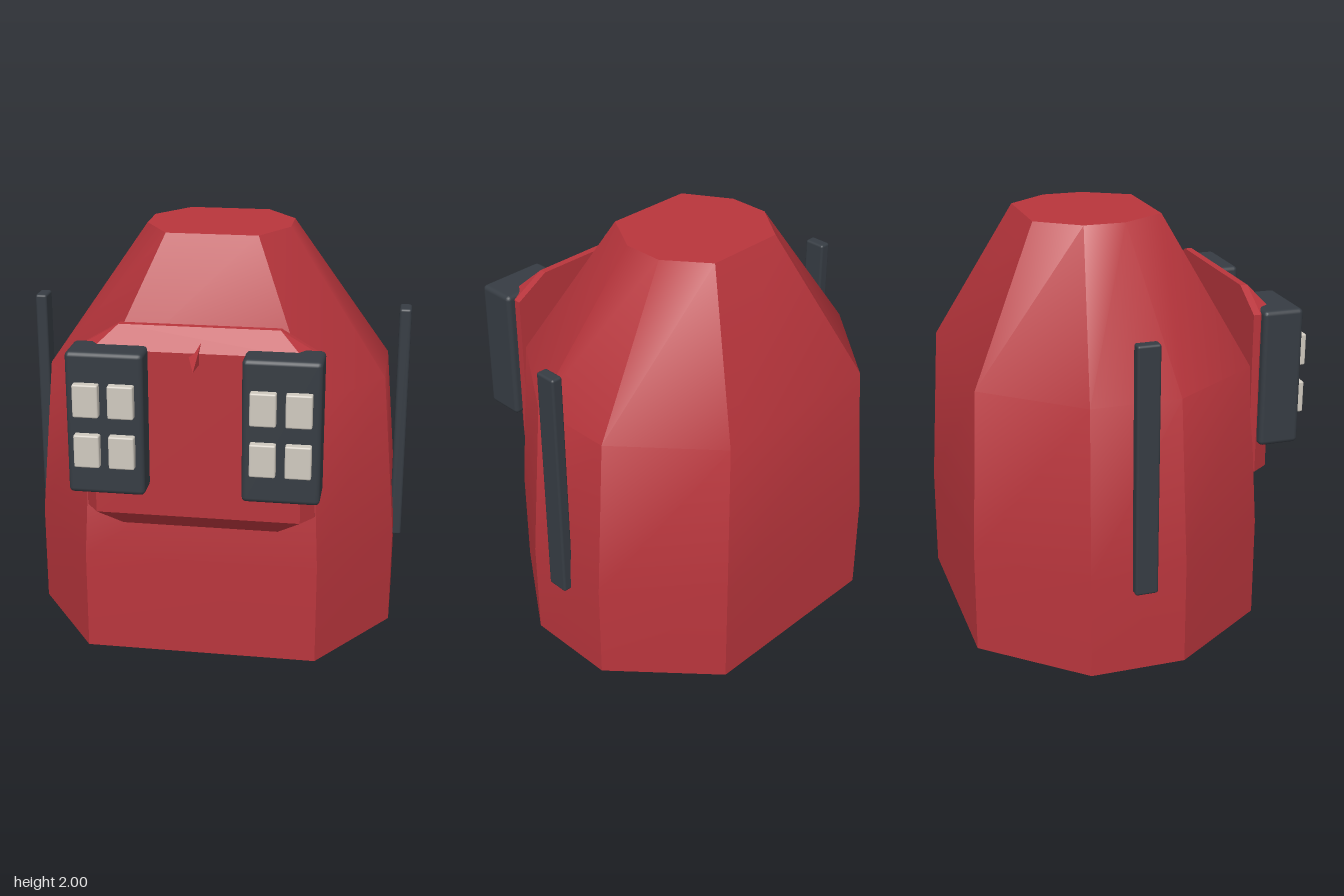
import * as THREE from 'three';
import { toCreasedNormals } from 'three/addons/utils/BufferGeometryUtils.js';
import { RoundedBoxGeometry } from 'three/addons/geometries/RoundedBoxGeometry.js';
import { ConvexGeometry } from 'three/addons/geometries/ConvexGeometry.js';

const material = (name, color) => {
  const m = new THREE.MeshStandardMaterial({ color });
  m.name = name;
  return m;
};

// Irregular octagon seen from above, counter-clockwise from the front left corner
function ring({ y, side, front, back, frontX, backX, sideFront, sideBack }) {
  const half = [[frontX, front], [side, sideFront], [side, sideBack], [backX, back]];
  const mirrored = half.map(([x, z]) => [-x, z]).reverse();
  return [...half, ...mirrored].map(([x, z]) => new THREE.Vector3(x, y, z));
}

// Skin a stack of rings and cap both ends
function loft(rings) {
  const points = [];
  const tri = (a, b, c) => points.push(a, b, c);
  const n = rings[0].length;
  for (let r = 0; r < rings.length - 1; r++) {
    for (let i = 0; i < n; i++) {
      const j = (i + 1) % n;
      const [a, b, c, d] = [rings[r][i], rings[r][j], rings[r + 1][j], rings[r + 1][i]];
      tri(a, b, c);
      tri(a, c, d);
    }
  }
  const bottom = rings[0], top = rings[rings.length - 1];
  for (let i = 1; i < n - 1; i++) {
    tri(bottom[0], bottom[i + 1], bottom[i]);
    tri(top[0], top[i], top[i + 1]);
  }
  return toCreasedNormals(new THREE.BufferGeometry().setFromPoints(points), 0.55);
}

export function createModel() {
  const model = new THREE.Group();
  model.name = 'model';
  const red = material('red', 0xb8353c);
  const dark = material('dark slate', 0x363c43);
  const pale = material('pale grey', 0xcfc9bf);

  const add = (parent, name, geometry, mat, x = 0, y = 0, z = 0) => {
    const mesh = new THREE.Mesh(geometry, mat);
    mesh.name = name;
    mesh.position.set(x, y, z);
    parent.add(mesh);
    return mesh;
  };

  // Tapered eight-sided body
  const base = { side: 0.9, front: 0.58, back: -0.82, frontX: 0.56, backX: 0.495, sideFront: 0.09, sideBack: -0.37 };
  add(model, 'body', loft([
    ring({ ...base, y: 0 }),
    ring({ ...base, y: 0.5 }),
    ring({ y: 1.3, side: 0.83, front: 0.54, back: -0.78, frontX: 0.52, backX: 0.455, sideFront: 0.08, sideBack: -0.35 }),
    ring({ y: 2, side: 0.35, front: 0.19, back: -0.43, frontX: 0.22, backX: 0.2, sideFront: -0.03, sideBack: -0.23 }),
  ]), red);

  // Bevelled chest plate
  const plate = [];
  for (const s of [-1, 1]) {
    for (const z of [0.54, 0.575]) {
      for (const [x, y] of [[0.37, 0.675], [0.54, 0.76], [0.54, 1.56], [0.37, 1.66]]) {
        plate.push(new THREE.Vector3(s * x, y, z));
      }
    }
    for (const y of [0.76, 1.56]) plate.push(new THREE.Vector3(s * 0.48, y, 0.657));
  }
  add(model, 'chestPlate', new ConvexGeometry(plate), red);

  // Small spike in the middle of the plate
  add(model, 'spike', new ConvexGeometry([
    new THREE.Vector3(0.02, 1.62, 0.6),
    new THREE.Vector3(-0.04, 1.55, 0.64),
    new THREE.Vector3(0.015, 1.51, 0.64),
    new THREE.Vector3(0, 1.5, 0.75),
  ]), red);

  // Mirrored pods with four pads each, and side bars
  for (const [s, label] of [[1, 'left'], [-1, 'right']]) {
    const pod = new THREE.Group();
    pod.name = `${label}Pod`;
    pod.position.set(s * 0.399, 1.243, 0.68);
    model.add(pod);
    add(pod, 'podCase', new RoundedBoxGeometry(0.355, 0.675, 0.2, 2, 0.022), dark);
    for (const x of [-0.08, 0.08]) {
      for (const y of [-0.12, 0.12]) {
        add(pod, 'pad', new RoundedBoxGeometry(0.118, 0.155, 0.06, 2, 0.008), pale, x, y, 0.108);
      }
    }
    add(model, `${label}Bar`, new RoundedBoxGeometry(0.058, 1.2, 0.11, 2, 0.012), dark, s * 0.912, 1.005, -0.115);
  }
  return model;
}
